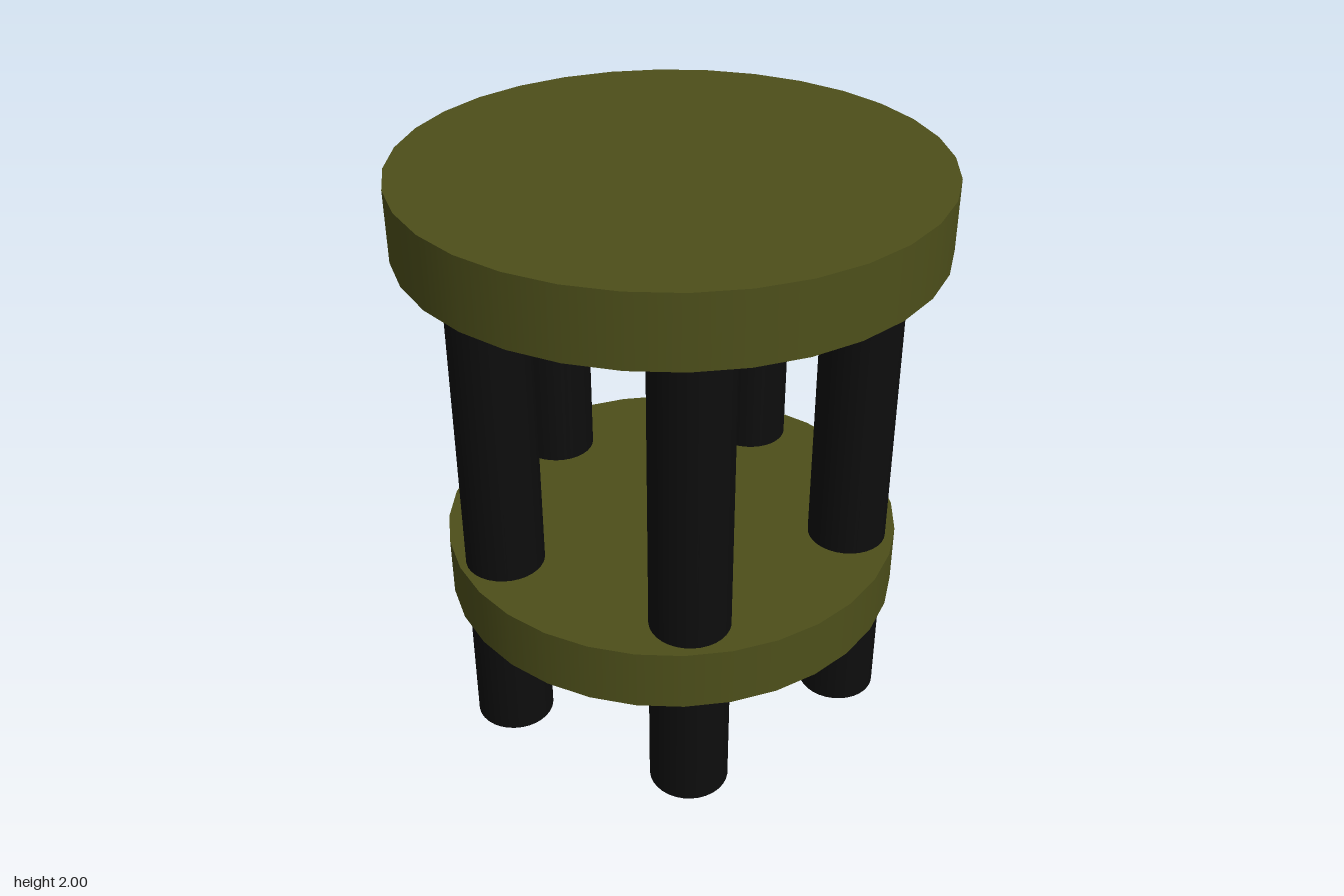
import * as THREE from 'three';

const olive = new THREE.MeshStandardMaterial({ color: 0x4d4f1a });
const black = new THREE.MeshStandardMaterial({ color: 0x0d0d0d });

// Upright cylinder between two heights
function column(name, radius, bottom, top, material, x = 0, z = 0) {
  const height = top - bottom;
  const mesh = new THREE.Mesh(new THREE.CylinderGeometry(radius, radius, height, 32), material);
  mesh.position.set(x, bottom + height / 2, z);
  mesh.name = name;
  return mesh;
}

export function createModel() {
  const group = new THREE.Group();
  group.name = 'stool';

  // Round seat and lower shelf
  group.add(column('seat', 0.9, 1.76, 2, olive));
  group.add(column('shelf', 0.8, 0.455, 0.67, olive));

  // Five legs in a slightly uneven ring, as [x, z]
  const feet = [[0.465, 0.425], [-0.235, 0.595], [-0.635, -0.045], [-0.145, -0.615], [0.545, -0.32]];
  const legs = new THREE.Group();
  legs.name = 'legs';
  feet.forEach(([x, z], i) => legs.add(column(`leg${i + 1}`, 0.136, 0, 1.77, black, x, z)));
  group.add(legs);

  return group;
}
